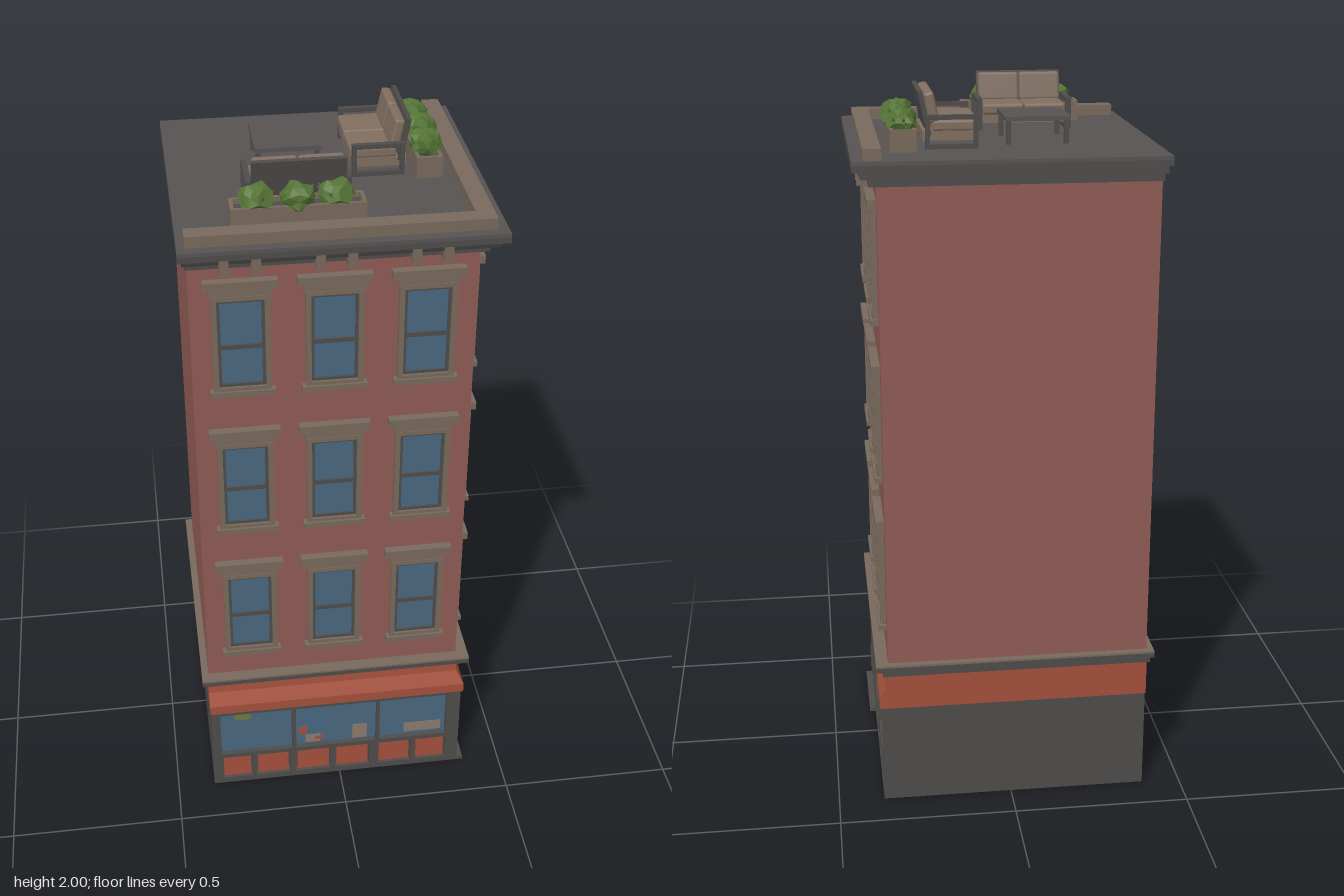
import * as THREE from 'three';
import { RoundedBoxGeometry } from 'three/addons/geometries/RoundedBoxGeometry.js';

const mat = (name, color) => {
  const m = new THREE.MeshStandardMaterial({ color });
  m.name = name;
  return m;
};
const M = {
  brick: mat('brick', 0x8f5b55),
  awning: mat('awning red', 0xa3503c),
  dark: mat('dark grey', 0x4e4c4b),
  roof: mat('roof grey', 0x575352),
  trim: mat('stone trim', 0x78695c),
  glass: mat('window glass', 0x48677f),
  cushion: mat('cushion tan', 0x806e60),
  leaf: mat('leaf green', 0x557436),
  goods: mat('shop goods', 0x8a7a6c),
  olive: mat('olive sign', 0x6c7a3e),
};

const add = (parent, name, geo, material, x = 0, y = 0, z = 0) => {
  const m = new THREE.Mesh(geo, material);
  m.name = name;
  m.position.set(x, y, z);
  parent.add(m);
  return m;
};
// Box given by its limits on each axis
const block = (parent, name, material, [x0, x1], [y0, y1], [z0, z1]) =>
  add(parent, name, new THREE.BoxGeometry(x1 - x0, y1 - y0, z1 - z0), material, (x0 + x1) / 2, (y0 + y1) / 2, (z0 + z1) / 2);
// Square storey slab whose street sides (+x, +z) may slope from h0 up to h1
const slab = (parent, name, material, lo, y0, y1, h0, h1 = h0) => {
  const g = new THREE.BoxGeometry(1, 1, 1).toNonIndexed();
  const p = g.attributes.position;
  for (let i = 0; i < p.count; i++) {
    const top = p.getY(i) > 0, hi = top ? h1 : h0;
    p.setXYZ(i, p.getX(i) > 0 ? hi : lo, top ? y1 : y0, p.getZ(i) > 0 ? hi : lo);
  }
  g.computeVertexNormals();
  return add(parent, name, g, material);
};
const rect = (C, x0, x1, y0, y1) => {
  const s = new C();
  s.moveTo(x0, y0);
  s.lineTo(x1, y0);
  s.lineTo(x1, y1);
  s.lineTo(x0, y1);
  s.closePath();
  return s;
};
// Flat frame with rectangular openings [x0, x1, y0, y1]
const frame = (outer, holes, depth) => {
  const s = rect(THREE.Shape, ...outer);
  holes.forEach(h => s.holes.push(rect(THREE.Path, ...h)));
  return new THREE.ExtrudeGeometry(s, { depth, bevelEnabled: false });
};

function sashWindow(x, y) {
  const g = new THREE.Group();
  g.name = 'window';
  g.position.set(x, y, 0);
  add(g, 'windowFrame', frame([-0.075, 0.075, 0, 0.28], [[-0.061, 0.061, 0.014, 0.268]], 0.016), M.trim);
  add(g, 'sash', frame([-0.061, 0.061, 0.014, 0.268], [[-0.053, 0.053, 0.022, 0.125], [-0.053, 0.053, 0.137, 0.26]], 0.009), M.dark);
  block(g, 'glass', M.glass, [-0.06, 0.06], [0.015, 0.267], [0, 0.004]);
  block(g, 'sill', M.trim, [-0.085, 0.085], [-0.012, 0.004], [0, 0.022]);
  block(g, 'lintelBase', M.trim, [-0.08, 0.08], [0.28, 0.302], [0, 0.014]);
  block(g, 'lintel', M.trim, [-0.095, 0.095], [0.302, 0.325], [0, 0.024]);
  return g;
}

// Street wall in its own plane: windows, brackets and shop front
function facade(name, uMax, panes, panels, patches) {
  const g = new THREE.Group();
  g.name = name;
  for (const x of [-0.26, -0.02, 0.22]) {
    for (const y of [0.53, 0.975, 1.42]) g.add(sashWindow(x, y));
    for (const d of [-0.04, 0.04])
      block(g, 'corniceBracket', M.trim, [x + d - 0.012, x + d + 0.012], [1.775, 1.826], [0, 0.047]);
  }
  add(g, 'shopFrame', frame([-0.39, uMax, 0, 0.3], [...panes, ...panels], 0.02), M.dark);
  for (const [a, b, c, d] of panes) block(g, 'shopGlass', M.glass, [a, b], [c, d], [0, 0.005]);
  for (const [a, b, c, d] of panels) {
    block(g, 'shopPanel', M.awning, [a + 0.005, b - 0.005], [c + 0.005, d - 0.005], [0, 0.015]);
  }
  for (const [m, a, b, c, d] of patches) block(g, 'shopDisplay', m, [a, b], [c, d], [0.004, 0.007]);
  return g;
}

function sofa() {
  const g = new THREE.Group();
  g.name = 'sofa';
  block(g, 'sofaBase', M.cushion, [-0.118, 0.118], [0.02, 0.045], [-0.075, 0.07]);
  for (const s of [-1, 1]) {
    add(g, 'seatCushion', new RoundedBoxGeometry(0.117, 0.03, 0.125, 2, 0.008), M.cushion, s * 0.059, 0.058, -0.018);
    const back = add(g, 'backCushion', new RoundedBoxGeometry(0.117, 0.08, 0.028, 2, 0.009), M.cushion, s * 0.059, 0.106, 0.046);
    back.rotation.x = 0.2;
    // Open arm rest frame
    const arm = add(g, 'armRest', frame([-0.07, 0.07, 0, 0.088], [[-0.058, 0.058, 0.012, 0.076]], 0.016), M.dark, s * 0.126 - 0.008, 0, -0.006);
    arm.rotation.y = Math.PI / 2;
  }
  const panel = add(g, 'backPanel', new THREE.BoxGeometry(0.24, 0.115, 0.012), M.dark, 0, 0.091, 0.064);
  panel.rotation.x = 0.2;
  return g;
}

function planter(seed) {
  let s = seed;
  const rnd = () => (s = (s * 16807) % 2147483647) / 2147483647;
  const g = new THREE.Group();
  g.name = 'planter';
  add(g, 'planterBox', frame([-0.17, 0.17, -0.035, 0.035], [[-0.16, 0.16, -0.025, 0.025]], 0.058), M.trim).rotation.x = -Math.PI / 2;
  block(g, 'soil', M.dark, [-0.162, 0.162], [0, 0.045], [-0.027, 0.027]);
  [-0.1, 0, 0.1].forEach((x, n) => {
    // Faceted bush, each corner pushed in or out by a position-based rule
    const geo = new THREE.IcosahedronGeometry(0.044, 1);
    const p = geo.attributes.position, v = new THREE.Vector3(), ph = rnd() * 6;
    for (let i = 0; i < p.count; i++) {
      v.fromBufferAttribute(p, i);
      v.multiplyScalar(1 + 0.15 * Math.sin(v.x * 130 + v.y * 90 + v.z * 170 + ph));
      p.setXYZ(i, v.x, v.y * 0.85, v.z * 0.92);
    }
    geo.computeVertexNormals();
    add(g, 'bush', geo, M.leaf, x, 0.07, n === 1 ? 0.005 : -0.002);
    for (let k = 0; k < 5; k++) {
      const a = rnd() * Math.PI * 2;
      const leaf = add(g, 'leafTip', new THREE.ConeGeometry(0.008, 0.03, 4), M.leaf, x + Math.cos(a) * 0.04, 0.065 + rnd() * 0.02, Math.sin(a) * 0.035);
      leaf.rotation.set(Math.sin(a) * 0.8, 0, -Math.cos(a) * 0.9);
    }
  });
  return g;
}

export function createModel() {
  const root = new THREE.Group();
  root.name = 'cornerBuilding';

  // Storeys, awning band and cornices
  slab(root, 'groundFloor', M.dark, -0.39, 0, 0.3, 0.35);
  slab(root, 'awningEdge', M.awning, -0.392, 0.295, 0.325, 0.376);
  slab(root, 'awningSlope', M.awning, -0.392, 0.325, 0.365, 0.376, 0.356);
  slab(root, 'awningTop', M.awning, -0.392, 0.365, 0.402, 0.356, 0.352);
  slab(root, 'lowerCorniceStep', M.dark, -0.4, 0.4, 0.418, 0.365);
  slab(root, 'lowerCornice', M.dark, -0.41, 0.418, 0.432, 0.385);
  slab(root, 'lowerCorniceCap', M.trim, -0.41, 0.432, 0.438, 0.385);
  slab(root, 'brickWalls', M.brick, -0.39, 0.438, 1.79, 0.35);
  slab(root, 'corniceBand', M.dark, -0.395, 1.785, 1.805, 0.37);
  slab(root, 'corniceStep', M.dark, -0.403, 1.805, 1.826, 0.39, 0.4);
  slab(root, 'cornice', M.dark, -0.413, 1.826, 1.842, 0.412);
  slab(root, 'roofDeck', M.roof, -0.413, 1.842, 1.852, 0.412);
  block(root, 'frontParapet', M.trim, [-0.393, 0.383], [1.852, 1.882], [0.335, 0.383]);
  block(root, 'sideParapet', M.trim, [0.335, 0.383], [1.852, 1.882], [-0.393, 0.335]);

  // Front street wall
  const panelRow = list => list.map(([a, b]) => [a, b, 0.02, 0.105]);
  const front = facade('frontWall', 0.37,
    [[-0.363, -0.147, 0.12, 0.28], [-0.135, 0.112, 0.12, 0.28], [0.122, 0.328, 0.12, 0.28]],
    panelRow([[-0.363, -0.27], [-0.258, -0.154], [-0.135, -0.029], [-0.014, 0.092], [0.119, 0.221], [0.235, 0.33]]),
    [[M.olive, -0.32, -0.27, 0.245, 0.27], [M.awning, -0.125, -0.1, 0.16, 0.19], [M.goods, -0.105, -0.06, 0.125, 0.155],
     [M.awning, -0.075, -0.05, 0.135, 0.15], [M.goods, 0.04, 0.085, 0.125, 0.18], [M.goods, 0.2, 0.315, 0.13, 0.165]]);
  front.position.set(0, 0, 0.35);
  root.add(front);

  // Side street wall with the double door
  const side = facade('sideWall', 0.35,
    [[-0.37, -0.272, 0.02, 0.28], [-0.262, -0.168, 0.02, 0.28], [-0.148, 0.1, 0.12, 0.28], [0.112, 0.333, 0.12, 0.28]],
    panelRow([[-0.145, -0.037], [-0.022, 0.084], [0.11, 0.217], [0.232, 0.333]]),
    [[M.awning, -0.36, -0.315, 0.235, 0.255], [M.awning, -0.36, -0.34, 0.195, 0.225], [M.goods, -0.31, -0.285, 0.16, 0.19],
     [M.goods, -0.365, -0.33, 0.07, 0.115], [M.goods, -0.215, -0.18, 0.21, 0.255], [M.olive, -0.2, -0.17, 0.03, 0.06],
     [M.goods, -0.03, 0.08, 0.13, 0.168], [M.goods, 0.185, 0.255, 0.13, 0.178], [M.olive, 0.3, 0.33, 0.235, 0.27]]);
  side.position.set(0.35, 0, -0.04);
  side.rotation.y = Math.PI / 2;
  for (const x of [-0.277, -0.257]) block(side, 'doorHandle', M.dark, [x - 0.003, x + 0.003], [0.11, 0.18], [0.02, 0.027]);
  block(side, 'doorStep', M.dark, [-0.41, -0.16], [0, 0.012], [0.0, 0.038]);
  root.add(side);

  // Rooftop furniture
  const roofY = 1.852;
  const place = (obj, x, z, turned) => {
    obj.position.set(x, roofY, z);
    if (turned) obj.rotation.y = Math.PI / 2;
    root.add(obj);
  };
  place(sofa(), -0.093, 0.155, false);
  place(sofa(), 0.147, -0.1, true);
  place(planter(7), -0.103, 0.272, false);
  place(planter(29), 0.272, -0.105, true);

  const table = new THREE.Group();
  table.name = 'table';
  block(table, 'tableTop', M.roof, [-0.088, 0.088], [0.062, 0.074], [-0.088, 0.088]);
  for (const x of [-0.078, 0.078])
    for (const z of [-0.078, 0.078]) block(table, 'tableLeg', M.dark, [x - 0.006, x + 0.006], [0, 0.062], [z - 0.006, z + 0.006]);
  place(table, -0.093, -0.1, false);

  return root;
}
